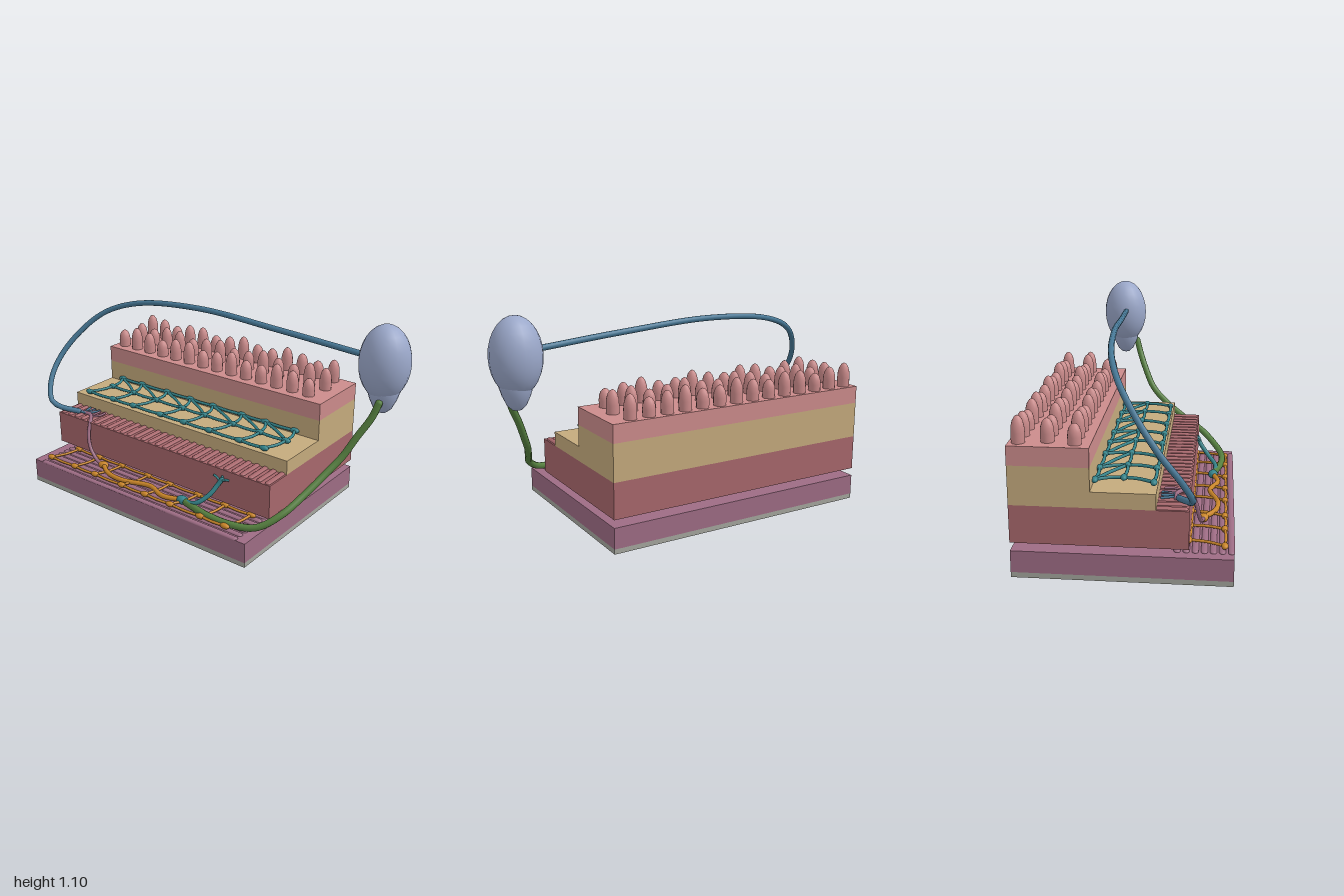
import * as THREE from 'three';

const mat = (name, color) => {
  const m = new THREE.MeshStandardMaterial({ color });
  m.name = name;
  return m;
};

export function createModel() {
  const root = new THREE.Group();
  root.name = 'layeredTissueModel';
  const pink = mat('pink', 0xcb8b8b), tan = mat('tan', 0xc4aa7d), red = mat('red', 0xa7676c);
  const purple = mat('purple', 0x9d6c84), grey = mat('grey', 0xa3a59c), blue = mat('blue', 0x477896);
  const teal = mat('teal', 0x34838a), orange = mat('orange', 0xc98528);
  const green = mat('green', 0x568040), lilac = mat('lilac', 0x9ba8ca);

  const group = (name) => {
    const g = new THREE.Group();
    g.name = name;
    root.add(g);
    return g;
  };
  const add = (parent, name, geo, material, x = 0, y = 0, z = 0) => {
    const m = new THREE.Mesh(geo, material);
    m.name = name;
    m.position.set(x, y, z);
    parent.add(m);
    return m;
  };
  // Layer slab sharing the common width, given its y and z limits
  const slab = (name, material, y0, y1, z1) =>
    add(root, name, new THREE.BoxGeometry(1.445, y1 - y0, z1 + 0.5), material, -0.167, (y0 + y1) / 2, (z1 - 0.5) / 2);
  // Smooth tube through points, with closed round ends
  const tube = (parent, name, material, r, pts, segs = 40) => {
    const v = pts.map((p) => new THREE.Vector3(...p));
    add(parent, name, new THREE.TubeGeometry(new THREE.CatmullRomCurve3(v), segs, r, 10), material);
    for (const p of [v[0], v[v.length - 1]])
      add(parent, name + 'End', new THREE.SphereGeometry(r, 10, 6), material, p.x, p.y, p.z);
  };
  const blob = (parent, name, material, p, s, w = 14, h = 10) =>
    add(parent, name, new THREE.SphereGeometry(1, w, h), material, ...p).scale.set(...s);

  // Stepped layers
  slab('basePlate', grey, 0, 0.025, 0.5);
  slab('outerMuscle', purple, 0.025, 0.13, 0.5);
  slab('innerMuscle', red, 0.17, 0.35, 0.3);
  slab('lowerConnectiveLayer', tan, 0.35, 0.425, 0.155);
  slab('upperConnectiveLayer', tan, 0.425, 0.535, -0.135);
  slab('lining', pink, 0.535, 0.625, -0.135);

  // Finger-like bumps on the lining
  const villi = group('villi');
  const profile = [[0.031, 0], [0.032, 0.4], [0.03, 0.62], [0.023, 0.82], [0.012, 0.95], [0, 1]]
    .map(([r, y]) => new THREE.Vector2(r, y));
  const villus = new THREE.LatheGeometry(profile, 14);
  [-0.455, -0.33, -0.205].forEach((z, row) => {
    for (let i = 0; i < 14; i++) {
      const h = 0.115 + 0.018 * Math.sin(i * 1.9 + row * 2.2 + 1);
      add(villi, 'villus', villus, pink, -0.835 + i * 0.0983 + (row === 1 ? 0.025 : 0), 0.62, z).scale.y = h;
    }
  });

  // Muscle fibres: ridges across the inner muscle, strands along the outer one
  const fibres = group('muscleFibres');
  for (let i = 0; i < 29; i++) {
    const m = add(fibres, 'crossFibre', new THREE.CapsuleGeometry(0.015, 0.13, 4, 10), red, -0.865 + i * 0.0499, 0.35, 0.215);
    m.rotation.x = Math.PI / 2;
    m.scale.z = 0.6;
  }
  for (let i = 0; i < 7; i++) {
    const m = add(fibres, 'longFibre', new THREE.CapsuleGeometry(0.016, 1.31, 4, 10), purple, -0.167, 0.13, 0.245 + i * 0.0405);
    m.rotation.z = Math.PI / 2;
    m.scale.x = 0.55;
  }

  // Flat nerve net: three rows of nodes joined by strands
  const net = (name, material, y, rows, r) => {
    const g = group(name);
    const node = (row, i) => [-0.8 + i * 0.174 + (row === 1 ? 0.04 : 0) + 0.012 * Math.sin(i * 2.4 + row),
      y, rows[row]];
    const strand = (a, b) => {
      const mid = [(a[0] + b[0]) / 2 + (a[2] === b[2] ? 0 : 0.012), y, (a[2] + b[2]) / 2 + (a[2] === b[2] ? 0.006 : 0)];
      tube(g, 'strand', material, r, [a, mid, b], 6);
    };
    for (let row = 0; row < 3; row++) {
      for (let i = 0; i < 8; i++) {
        blob(g, 'node', material, node(row, i), [0.027, 0.014, 0.016]);
        if (i < 7) strand(node(row, i), node(row, i + 1));
        if (row < 2) strand(node(row, i), node(row + 1, i));
        if (row === 1 && i > 0) strand(node(1, i), node(2, i - 1));
      }
    }
  };
  net('upperNerveNet', teal, 0.446, [0.138, 0, -0.126], 0.008);
  net('lowerNerveNet', orange, 0.154, [0.457, 0.295, 0.13], 0.007);

  // Brain with tapering stem
  const brain = group('brain');
  blob(brain, 'brainBody', lilac, [0.87, 0.91, -0.17], [0.125, 0.186, 0.124], 20, 14);
  const stem = [[0, 0], [0.022, 0.004], [0.045, 0.025], [0.066, 0.07], [0.08, 0.115], [0.078, 0.15], [0.05, 0.19]]
    .map((p) => new THREE.Vector2(...p));
  add(brain, 'brainStem', new THREE.LatheGeometry(stem, 20), lilac, 0.875, 0.658, -0.17);

  // Blue nerve arching from the brain to the front edge
  const sensory = group('sensoryNerve');
  tube(sensory, 'longBlueNerve', blue, 0.015, [[0.77, 0.93, -0.155], [0.3, 0.965, -0.13], [-0.2, 0.99, -0.11],
    [-0.6, 0.955, -0.07], [-0.8, 0.88, -0.01], [-0.92, 0.76, 0.08], [-0.98, 0.63, 0.18], [-0.975, 0.52, 0.265],
    [-0.93, 0.42, 0.315], [-0.88, 0.39, 0.305], [-0.78, 0.367, 0.25]], 70);
  for (const x of [-0.77, -0.735, -0.7])
    tube(sensory, 'blueEnding', blue, 0.006, [[-0.79, 0.367, 0.255], [(x - 0.75) / 2, 0.364, 0.23], [x, 0.362, 0.17]], 10);

  // Mauve nerve dropping down the front of the inner muscle
  const local = group('localNerve');
  tube(local, 'droppingNerve', purple, 0.01, [[-0.77, 0.362, 0.235], [-0.7, 0.363, 0.24], [-0.655, 0.355, 0.285],
    [-0.64, 0.29, 0.32], [-0.615, 0.22, 0.335], [-0.565, 0.17, 0.345], [-0.5, 0.157, 0.36]]);
  for (const x of [-0.72, -0.685, -0.65])
    tube(local, 'mauveEnding', purple, 0.006, [[-0.68, 0.363, 0.255], [x, 0.363, 0.22], [x, 0.362, 0.18]], 10);

  // Thick orange nerve along the lower net
  const inter = group('connectingNerve');
  blob(inter, 'orangeCell', orange, [-0.5, 0.157, 0.355], [0.032, 0.02, 0.024]);
  tube(inter, 'orangeNerve', orange, 0.013, [[-0.5, 0.157, 0.355], [-0.41, 0.157, 0.41], [-0.3, 0.157, 0.422],
    [-0.14, 0.157, 0.38], [-0.02, 0.157, 0.42], [0.09, 0.158, 0.392]]);

  // Teal nerve rising to the inner muscle
  const motor = group('motorNerve');
  blob(motor, 'tealCell', teal, [0.09, 0.158, 0.392], [0.035, 0.022, 0.026]);
  tube(motor, 'risingNerve', teal, 0.012, [[0.09, 0.158, 0.392], [0.18, 0.175, 0.405], [0.235, 0.22, 0.36],
    [0.26, 0.27, 0.32], [0.275, 0.3, 0.305]]);
  for (const [x, y] of [[0.225, 0.305], [0.275, 0.312], [0.31, 0.302]])
    tube(motor, 'tealEnding', teal, 0.006, [[0.268, 0.285, 0.313], [(x + 0.27) / 2, 0.3, 0.307], [x, y, 0.302]], 8);

  // Green nerve from the stem down to the lower net
  tube(group('descendingNerve'), 'greenNerve', green, 0.018, [[0.89, 0.73, -0.1], [0.87, 0.66, -0.08],
    [0.82, 0.56, -0.04], [0.775, 0.46, 0.01], [0.735, 0.39, 0.08], [0.69, 0.31, 0.19], [0.635, 0.23, 0.32],
    [0.55, 0.17, 0.4], [0.42, 0.157, 0.435], [0.27, 0.158, 0.435], [0.12, 0.158, 0.4]], 70);

  return root;
}
